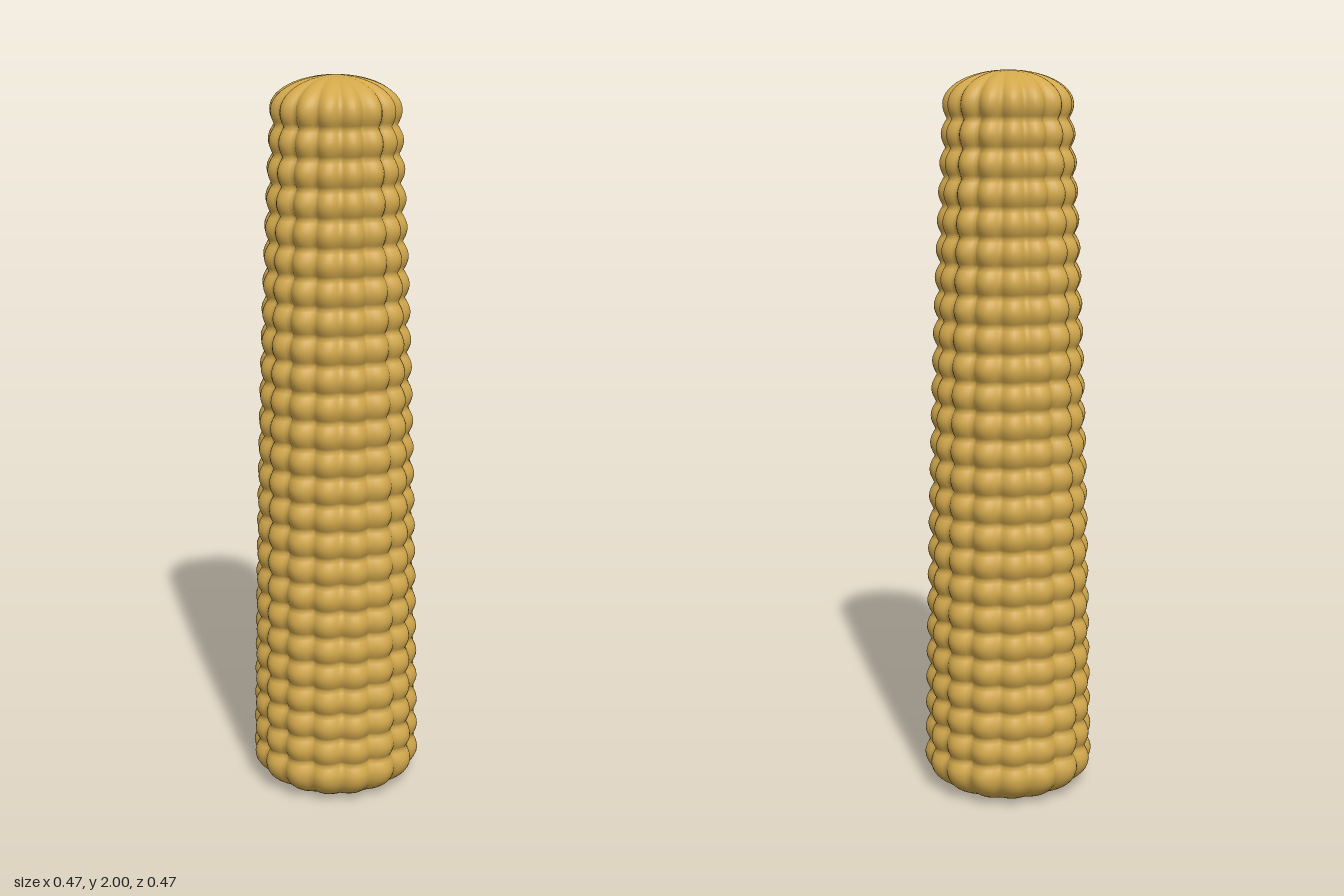
import * as THREE from 'three';

const LOBES = 16;        // kernel columns around the cob
const SEGS = LOBES * 8;  // vertices per ring
const ROWS = 25;         // kernel rows up the cob
const PITCH = 0.0762;    // height of one row
const Y0 = 0.083, Y1 = Y0 + (ROWS - 1) * PITCH;

// Tapering radius over the kernel crests
function crestRadius(y) {
  const t = (y - Y0) / (Y1 - Y0);
  return 0.24 - 0.04 * t - 0.025 * t ** 3;
}

// Rings from bottom to top: height, crest radius, depth of the column grooves
function makeRings() {
  const rings = [{ y: 0, r: 0.075, groove: 0 }];
  // rounded foot
  for (let i = 0; i < 10; i++) {
    const a = (i / 10) * Math.PI / 2;
    const s = Math.sin(a);
    rings.push({ y: Y0 * (1 - Math.cos(a)), r: 0.15 + 0.09 * s ** 1.5, groove: 0.018 * s });
  }
  // kernel rows: crests at whole numbers, creases between them
  const steps = (ROWS - 1) * 8;
  for (let i = 0; i <= steps; i++) {
    const v = i / 8;
    const y = Y0 + v * PITCH;
    const crease = 0.014 * (1 - Math.abs(Math.cos(Math.PI * v)));
    rings.push({ y, r: crestRadius(y) - crease, groove: 0.018 });
  }
  // domed tip, grooves running in to the centre
  for (let i = 1; i < 14; i++) {
    const a = (i / 14) * Math.PI / 2;
    const c = Math.cos(a);
    rings.push({ y: Y1 + (2 - Y1) * Math.sin(a), r: crestRadius(Y1) * c, groove: 0.018 * c });
  }
  return rings;
}

function cobGeometry() {
  const rings = makeRings();
  const pos = [], index = [];
  for (const { y, r, groove } of rings) {
    for (let j = 0; j < SEGS; j++) {
      const a = (j / SEGS) * Math.PI * 2;
      const rad = r - groove * (1 - Math.abs(Math.sin(a * LOBES / 2)));
      pos.push(rad * Math.sin(a), y, rad * Math.cos(a));
    }
  }
  const bottom = rings.length * SEGS, top = bottom + 1;
  pos.push(0, 0, 0, 0, 2, 0);
  const last = (rings.length - 1) * SEGS;
  for (let j = 0; j < SEGS; j++) {
    const k = (j + 1) % SEGS;
    for (let i = 0; i < last; i += SEGS) {
      const a = i + j, b = i + k;
      index.push(a, b, b + SEGS, a, b + SEGS, a + SEGS);
    }
    index.push(bottom, k, j, top, last + j, last + k);
  }
  const geo = new THREE.BufferGeometry();
  geo.setAttribute('position', new THREE.Float32BufferAttribute(pos, 3));
  geo.setIndex(index);
  geo.computeVertexNormals();
  return geo;
}

export function createModel() {
  const group = new THREE.Group();
  group.name = 'cornCob';
  const cob = new THREE.Mesh(cobGeometry(), new THREE.MeshStandardMaterial({ color: 0xd2a84c }));
  cob.name = 'kernels';
  group.add(cob);
  return group;
}
